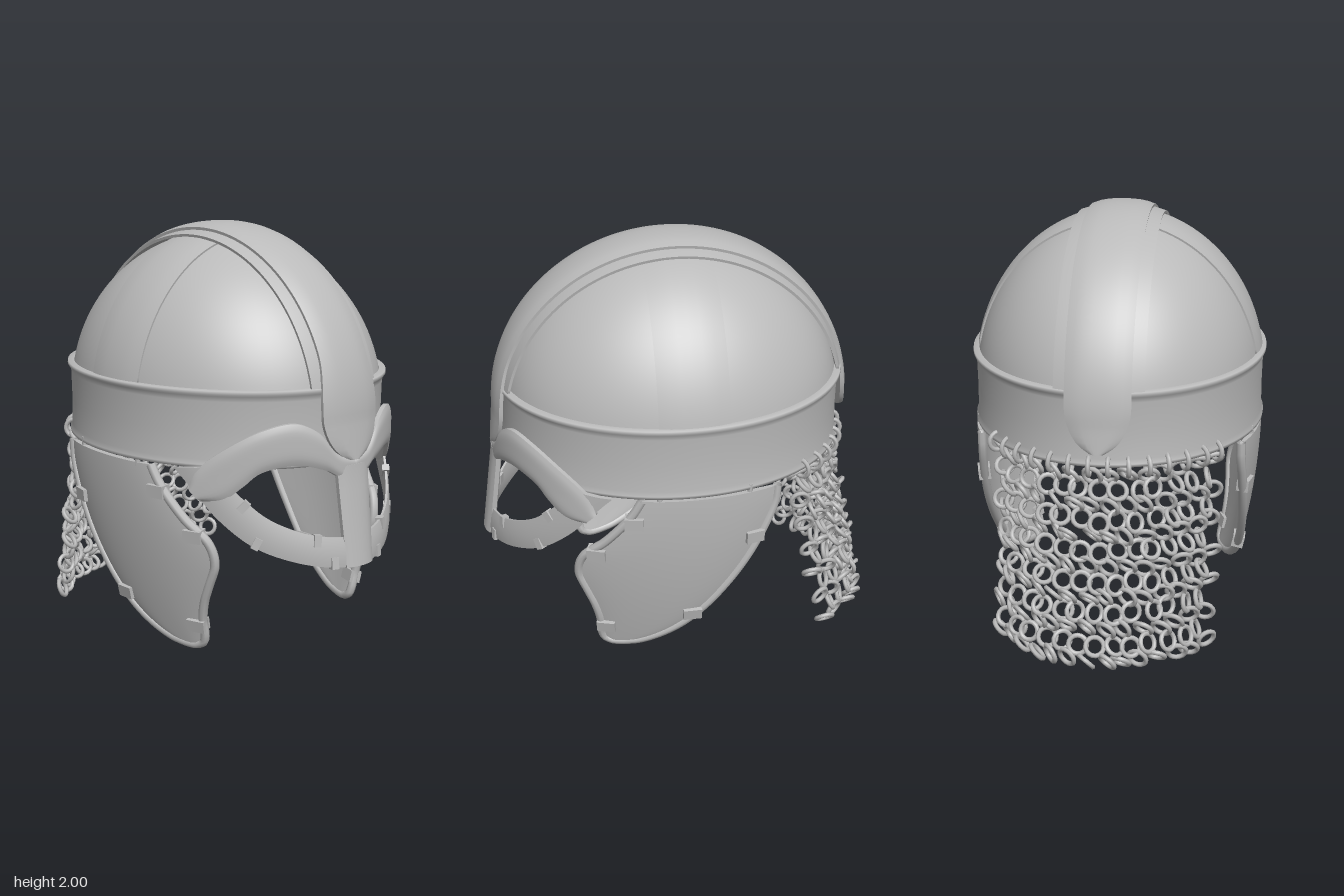
import * as THREE from 'three';
import { mergeGeometries } from 'three/addons/utils/BufferGeometryUtils.js';

const V = (x, y, z) => new THREE.Vector3(x, y, z);
const steel = new THREE.MeshStandardMaterial({ color: 0xbababa, side: THREE.DoubleSide });
steel.name = 'steel grey';
const CZ = 0.04; // centre of the oval plan
const CY = 1.15; // centre height of the dome

function part(parent, name, geometry) {
  const m = new THREE.Mesh(geometry, steel);
  m.name = name;
  parent.add(m);
  return m;
}

// Unit normal and edge direction of a surface f(u, v)
function frame(f, u, v) {
  const e = 1e-3;
  const du = f(Math.min(u + e, 1), v).sub(f(Math.max(u - e, 0), v)).normalize();
  const dv = f(u, Math.min(v + e, 1)).sub(f(u, Math.max(v - e, 0))).normalize();
  return { dv, n: du.cross(dv).normalize() };
}

// Closed plate of a given thickness around a surface, thinner along its long edges
function slab(f, nu, nv, th) {
  const pos = [], idx = [], N = (nu + 1) * (nv + 1);
  for (const side of [1, -1]) {
    for (let i = 0; i <= nu; i++) for (let j = 0; j <= nv; j++) {
      const u = i / nu, v = j / nv;
      const t = side * th / 2 * (1 - 0.55 * Math.abs(2 * v - 1) ** 4);
      pos.push(...f(u, v).addScaledVector(frame(f, u, v).n, t).toArray());
    }
  }
  const id = (i, j) => i * (nv + 1) + j;
  for (let i = 0; i < nu; i++) for (let j = 0; j < nv; j++) {
    const a = id(i, j), b = id(i + 1, j), c = id(i + 1, j + 1), d = id(i, j + 1);
    idx.push(a, b, c, a, c, d, a + N, c + N, b + N, a + N, d + N, c + N);
  }
  // Rim with its own vertices so that the edge stays sharp
  const loop = [];
  for (let i = 0; i < nu; i++) loop.push(id(i, 0));
  for (let j = 0; j < nv; j++) loop.push(id(nu, j));
  for (let i = nu; i > 0; i--) loop.push(id(i, nv));
  for (let j = nv; j > 0; j--) loop.push(id(0, j));
  const start = pos.length / 3, L = loop.length;
  for (const k of loop) for (const q of [k, k + N]) pos.push(pos[q * 3], pos[q * 3 + 1], pos[q * 3 + 2]);
  for (let k = 0; k < L; k++) {
    const a = start + 2 * k, b = start + 2 * ((k + 1) % L);
    idx.push(a, a + 1, b, b, a + 1, b + 1);
  }
  const g = new THREE.BufferGeometry();
  g.setAttribute('position', new THREE.Float32BufferAttribute(pos, 3));
  g.setIndex(idx);
  g.computeVertexNormals();
  return g;
}

// Surface ruled between two edge curves of flat points, then bent into place
function ruled(edgeA, edgeB, bend) {
  const curve = pts => new THREE.CatmullRomCurve3(pts.map(p => V(p[0], p[1], 0)), false, 'centripetal');
  const A = curve(edgeA), B = curve(edgeB);
  return (u, v) => bend(A.getPoint(u).lerp(B.getPoint(u), v));
}
const mirrored = (f, s) => s > 0 ? f : (u, v) => f(1 - u, v).multiply(V(-1, 1, 1));

// Small clip gripping the edge of a surface
function clip(f, u, v, w = 0.09, h = 0.06, d = 0.06) {
  const { dv, n } = frame(f, u, v);
  const g = new THREE.BoxGeometry(w, h, d);
  g.applyMatrix4(new THREE.Matrix4().makeBasis(dv, n.clone().cross(dv), n).setPosition(f(u, v)));
  return g;
}

function oval(points, rx, rz) {
  const g = new THREE.LatheGeometry(points.map(p => new THREE.Vector2(p[0], p[1])), 96);
  return g.scale(rx, 1, rz).translate(0, 0, CZ);
}

// Front-to-back arch: elliptical, with straight ends added (or trimmed, if negative)
function arch(rz, ry, front, back, halfWidth) {
  const A = 2.6, total = front + A + back;
  return (u, v) => {
    const s = u * total;
    const a = THREE.MathUtils.clamp((s - front) / A, 0, 1) * Math.PI;
    const low = Math.max(front - s, s - front - A, 0);
    const x = (2 * v - 1) * halfWidth(s, total - s), drop = 0.6 * x * x;
    return V(x, CY - low + Math.sin(a) * (ry - drop),
      CZ + Math.cos(a) * (rz - drop + 0.1 * low));
  };
}

// Bend for face pieces: wraps around the oval and kicks forward lower down
function faceBend(p) {
  const k = Math.sqrt(Math.max(0, 1 - (p.x / 0.72) ** 2));
  const kick = 0.14 * Math.max(0, 0.93 - p.y) * (1 - Math.abs(p.x) / 0.72);
  return V(p.x, p.y, CZ + 0.87 * k + kick);
}

// Bend for cheek pieces: flat x is the depth, tucking inwards towards the jaw
function cheekBend(p) {
  const k = Math.sqrt(1 - ((p.x - CZ) / 0.95) ** 2);
  return V(0.695 * k - 0.135 * (Math.max(0, 0.94 - p.y) / 0.9) ** 1.8, p.y, p.x);
}

function addBowl(g) {
  const dome = [], a0 = 0.18;
  for (let i = 0; i <= 28; i++) {
    const a = a0 + i / 28 * (Math.PI / 2 - a0);
    dome.push([Math.max(Math.cos(a), 0.0001), CY + 0.8 * Math.sin(a)]);
  }
  part(g, 'dome', oval(dome, 0.703, 0.835));
  // Band with lips at both edges and a plain inner wall
  part(g, 'browBand', oval([[0.972, 1.29], [0.972, 0.957], [0.985, 0.953], [1.01, 0.955], [1.012, 0.97], [0.998, 0.99],
    [0.996, 1.12], [1.0, 1.26], [1.01, 1.285], [1.022, 1.295], [1.02, 1.31], [0.98, 1.312]], 0.708, 0.833));
  part(g, 'crossBand', slab((u, v) => {
    const z = -0.13 + 0.33 * v, a = a0 + u * (Math.PI - 2 * a0);
    const k = Math.sqrt(1 - ((z - CZ) / 0.835) ** 2);
    return V(0.707 * k * Math.cos(a), CY + 0.806 * k * Math.sin(a), z);
  }, 56, 6, 0.02));
  part(g, 'crestBase', slab(arch(0.843, 0.813, -0.15, -0.15, () => 0.205), 64, 6, 0.03));
  const width = (a, b) => {
    const w = 0.15 + 0.022 * (1 - THREE.MathUtils.smoothstep(a, 0.25, 0.5));
    const t = Math.min(1, Math.min(a, b) / 0.22);
    return Math.max(0.03, w * Math.sqrt(1 - (1 - t) ** 2));
  };
  part(g, 'crest', slab(arch(0.86, 0.83, 0.18, 0.12, width), 110, 8, 0.04));
}

function addFace(g) {
  const brow = ruled(
    [[0, 0.915], [0.07, 0.895], [0.16, 0.94], [0.3, 0.975], [0.42, 0.945], [0.48, 0.88], [0.54, 0.815], [0.595, 0.805]],
    [[0, 0.97], [0.1, 1.01], [0.2, 1.12], [0.3, 1.165], [0.42, 1.135], [0.53, 1.05], [0.6, 0.95], [0.62, 0.86]],
    faceBend);
  const guard = ruled(
    [[0, 0.48], [0.12, 0.485], [0.3, 0.525], [0.45, 0.6], [0.55, 0.72], [0.61, 0.85], [0.65, 0.95]],
    [[0, 0.62], [0.12, 0.625], [0.27, 0.66], [0.4, 0.73], [0.48, 0.82], [0.53, 0.9], [0.55, 0.97]],
    faceBend);
  for (const s of [1, -1]) {
    const side = s > 0 ? 'left' : 'right';
    part(g, side + 'Eyebrow', slab(mirrored(brow, s), 40, 10, 0.045));
    const f = mirrored(guard, s);
    part(g, side + 'EyeGuard', slab(f, 36, 4, 0.025));
    const clips = [[0.19, 0.15], [0.27, 0.85], [0.5, 0.15], [0.64, 0.85], [0.8, 0.15]]
      .map(([u, v]) => clip(f, s > 0 ? u : 1 - u, v, 0.055, 0.035, 0.036));
    part(g, side + 'EyeGuardClips', mergeGeometries(clips));
  }
  part(g, 'noseGuard', slab(ruled([[-0.085, 0.48], [-0.1, 0.95]], [[0.085, 0.48], [0.1, 0.95]], faceBend), 10, 8, 0.05));
}

function addCheeks(g) {
  const front = [[0.28, 0.94], [0.33, 0.85], [0.45, 0.7], [0.55, 0.6], [0.57, 0.5], [0.535, 0.4],
    [0.495, 0.3], [0.47, 0.2], [0.465, 0.12], [0.45, 0.08], [0.41, 0.06]];
  const back = [[-0.37, 0.94], [-0.36, 0.85], [-0.3, 0.7], [-0.25, 0.6], [-0.19, 0.5], [-0.12, 0.4],
    [-0.04, 0.3], [0.06, 0.2], [0.16, 0.13], [0.28, 0.075], [0.36, 0.06]];
  const plate = ruled(front, back, cheekBend);
  for (const s of [1, -1]) {
    const cheek = new THREE.Group();
    cheek.name = (s > 0 ? 'left' : 'right') + 'CheekGuard';
    const f = mirrored(plate, s), U = u => s > 0 ? u : 1 - u;
    part(cheek, 'cheekPlate', slab(f, 40, 20, 0.03));
    // Raised border down the front edge, round the tip and up the back
    const path = [];
    for (let i = 0; i <= 24; i++) path.push(f(U(i / 24), 0));
    for (let i = 24; i >= 0; i--) path.push(f(U(i / 24), 1));
    part(cheek, 'cheekBorder', new THREE.TubeGeometry(new THREE.CatmullRomCurve3(path), 120, 0.022, 8));
    const clips = [[0.12, 0.05], [0.27, 0.05], [0.73, 0.07], [0.64, 0.93], [0.21, 0.95]]
      .map(([u, v]) => clip(f, U(u), v));
    part(cheek, 'cheekClips', mergeGeometries(clips));
    // Short links hanging the plate from the band
    const links = [0.2, -0.23].map(z => {
      const p = cheekBend(V(z, 0.95, 0));
      return new THREE.CylinderGeometry(0.013, 0.013, 0.06, 8).translate(s * p.x, p.y, p.z);
    });
    part(cheek, 'cheekLinks', mergeGeometries(links));
    g.add(cheek);
  }
}

function addMail(g) {
  let seed = 7;
  const jitter = k => { seed = (seed * 16807) % 2147483647; return (seed / 2147483647 - 0.5) * k; };
  const ring = (x, y, z, tilt, yaw, r) => {
    const t = new THREE.TorusGeometry(r, 0.0115, 6, 16);
    t.applyMatrix4(new THREE.Matrix4().makeRotationFromEuler(new THREE.Euler(tilt, yaw, 0, 'YXZ')));
    return t.translate(x, y, z);
  };
  const cols = 14, rows = 13, spread = 0.83, hooks = [], mail = [];
  for (let c = 0; c < cols; c++) {
    const a = (c / (cols - 1) * 2 - 1) * spread;
    hooks.push(ring(0.7 * Math.sin(a), 0.952, CZ - 0.82 * Math.cos(a), 0, Math.PI / 2 - a + jitter(0.3), 0.045));
  }
  for (let r = 0; r < rows; r++) {
    const t = r / (rows - 1), odd = r % 2;
    for (let c = 0; c < cols - odd; c++) {
      const a = ((c + odd / 2) / (cols - 1) * 2 - 1) * spread;
      mail.push(ring(
        (0.68 - 0.02 * t) * Math.sin(a) + jitter(0.03),
        0.905 - 0.855 * t + jitter(0.015),
        CZ - 0.81 * Math.cos(a) - 0.175 * t ** 1.25 + jitter(0.03),
        (odd ? 0.5 : -0.5) + jitter(0.6), -a + (odd ? 0.5 : -0.5) + jitter(0.7), 0.043));
    }
  }
  part(g, 'mailHooks', mergeGeometries(hooks));
  part(g, 'mailCurtain', mergeGeometries(mail));
}

export function createModel() {
  const helmet = new THREE.Group();
  helmet.name = 'helmet';
  addBowl(helmet);
  addFace(helmet);
  addCheeks(helmet);
  addMail(helmet);
  return helmet;
}
